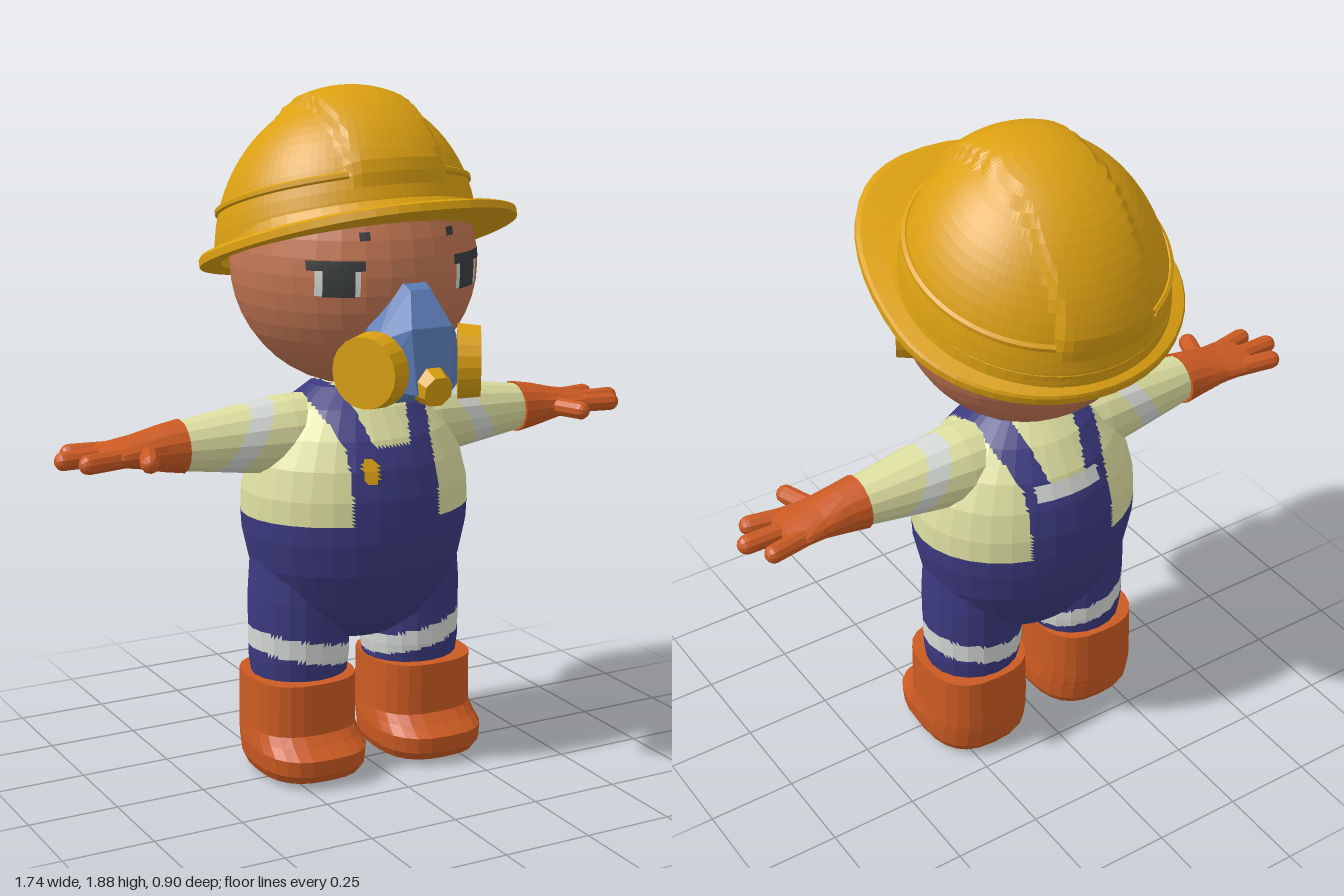
import * as THREE from 'three';
import { ConvexGeometry } from 'three/addons/geometries/ConvexGeometry.js';

const { sin, cos, abs, sign, PI } = Math;
const V = (x, y, z) => new THREE.Vector3(x, y, z);
const step = THREE.MathUtils.smoothstep;

const material = (name, color, extra) => {
  const m = new THREE.MeshStandardMaterial({ color, flatShading: true, ...extra });
  m.name = name;
  return m;
};

// Rings of n sides, listed bottom to top; place(row, angle) gives each corner.
function loft(rows, n, place) {
  const g = new THREE.LatheGeometry(rows.map((_, i) => new THREE.Vector2(1, i)), n);
  for (let i = 0; i <= n; i++)
    rows.forEach((row, j) => g.attributes.position.setXYZ(i * rows.length + j, ...place(row, (i / n) * 2 * PI)));
  g.computeVertexNormals();
  return g;
}

// Straight subdivision between rows, so that painted borders stay crisp.
function refine(rows, k) {
  const out = [];
  for (let i = 0; i < rows.length - 1; i++)
    for (let j = 0; j < k; j++) out.push(rows[i].map((a, c) => a + ((rows[i + 1][c] - a) * j) / k));
  out.push(rows[rows.length - 1]);
  return out;
}

// Radius factor that keeps a finely divided ring a polygon of n flat sides.
const facet = (t, n) => cos(PI / n) / cos((t % (2 * PI / n)) - PI / n);

// Sorts triangles into material groups by the position of their centre.
function paint(geometry, pick) {
  const g = geometry.toNonIndexed();
  const p = g.attributes.position.array;
  const buckets = [];
  for (let i = 0; i < p.length; i += 9) {
    const c = [0, 1, 2].map((k) => (p[i + k] + p[i + 3 + k] + p[i + 6 + k]) / 3);
    (buckets[pick(...c)] ??= []).push(...p.subarray(i, i + 9));
  }
  const out = new THREE.BufferGeometry();
  out.setAttribute('position', new THREE.Float32BufferAttribute(buckets.flat(), 3));
  let start = 0;
  buckets.forEach((b, k) => { out.addGroup(start, b.length / 3, k); start += b.length / 3; });
  out.computeVertexNormals();
  return out;
}

function mirror(geometry) {
  const g = geometry.index ? geometry.toNonIndexed() : geometry.clone();
  const p = g.attributes.position;
  for (let i = 0; i < p.count; i += 3) {
    const [a, b, c] = [0, 1, 2].map((k) => V(-p.getX(i + k), p.getY(i + k), p.getZ(i + k)));
    [a, c, b].forEach((v, k) => p.setXYZ(i + k, v.x, v.y, v.z));
  }
  g.computeVertexNormals();
  return g;
}

function capsule(a, b, r) {
  const d = b.clone().sub(a);
  const g = new THREE.CapsuleGeometry(r, d.length(), 4, 10);
  g.applyQuaternion(new THREE.Quaternion().setFromUnitVectors(V(0, 1, 0), d.normalize()));
  const m = a.clone().add(b).multiplyScalar(0.5);
  return g.translate(m.x, m.y, m.z);
}

export function createModel() {
  const root = new THREE.Group();
  root.name = 'worker';
  const gold = material('helmet gold', 0xdba011, { side: THREE.DoubleSide });
  const navy = material('overall navy', 0x3c3a80);
  const shirt = material('shirt pale yellow', 0xdcde9f);
  const orange = material('rubber orange', 0xcb5a22);
  const skin = material('skin', 0xc27653);
  const blue = material('mask blue', 0x5b7db8);
  const silver = material('reflective silver', 0xd5d9d5);
  const dark = material('eye dark', 0x3a3d3e);

  const add = (name, geometry, mat, parent = root) => {
    const m = new THREE.Mesh(geometry, mat);
    m.name = name;
    parent.add(m);
    return m;
  };
  const pair = (name, geometry, mat, parent) => {
    add('left' + name, geometry, mat, parent);
    add('right' + name, mirror(geometry), mat, parent);
  };

  // Body: egg with painted dungarees, straps and badge
  const bodyRows = [[0, 0.48], [0.12, 0.495], [0.2, 0.545], [0.26, 0.615], [0.305, 0.71], [0.325, 0.8], [0.328, 0.855],
    [0.325, 0.92], [0.305, 1.0], [0.265, 1.075], [0.2, 1.15], [0.13, 1.2], [0, 1.215]];
  const body = loft(refine(bodyRows, 7), 160, ([r, y], t) => {
    const f = r * facet(t, 32);
    return [f * sin(t), y, -0.06 + 0.8 * f * cos(t)];
  });
  const bodyColour = (x, y, z) => {
    const ax = abs(x), up = Math.max(0, y - 1.06);
    if (z > 0 && abs(x + 0.075) < 0.022 && abs(y - 1.0) < 0.035 - 0.5 * abs(x + 0.075)) return 2;
    if (y < 0.855) return 0;
    if (z < -0.06 && ax < 0.1 && abs(y - 1.04) < 0.022) return 3;
    if (y < 1.06) return ax < 0.13 ? 0 : 1;
    return ax > 0.055 + 0.25 * up && ax < 0.13 + 0.36 * up ? 0 : 1;
  };
  add('body', paint(body, bodyColour), [navy, shirt, gold, silver]);

  // Legs with a slanted reflective band
  const leg = loft(refine([[0.13, 0.36], [0.142, 0.45], [0.143, 0.62], [0.135, 0.74], [0.09, 0.84], [0, 0.86]], 12), 80,
    ([r, y], t) => {
      const f = r * facet(t, 20);
      return [0.175 + f * sin(t), y, -0.062 + 0.96 * f * cos(t)];
    });
  pair('Leg', paint(leg, (x, y) => (abs(y - 0.445 - 0.22 * (x - 0.04)) < 0.029 ? 1 : 0)), [navy, silver]);

  // Boots: height, half width, front, back
  const bootRows = [[0.12, 0, -0.03, -0.03], [0.12, 0.1, 0.09, -0.15], [0.135, 0.14, 0.14, -0.19], [0.16, 0.152, 0.16, -0.205],
    [0.205, 0.156, 0.165, -0.212], [0.23, 0.153, 0.125, -0.214], [0.255, 0.15, 0.098, -0.214], [0.4, 0.148, 0.1, -0.212],
    [0.4, 0, -0.06, -0.06]];
  const soft = (v, e) => sign(v) * abs(v) ** e;
  pair('Boot', loft(bootRows, 24, ([y, w, front, back], t) =>
    [0.184 + w * soft(sin(t), 0.75), y, (front + back) / 2 + ((front - back) / 2) * soft(cos(t), 0.75)]), orange);

  // Sleeves with a slanted reflective band
  const along = (g) => g.rotateZ(-PI / 2).translate(0, 1.07, -0.065);
  const sleeve = along(loft(refine([[0, 0.12], [0.11, 0.14], [0.11, 0.22], [0.094, 0.34], [0.066, 0.53], [0, 0.53]], 12), 64,
    ([r, x], t) => {
      const f = r * facet(t, 16);
      return [f * sin(t), x, f * cos(t)];
    }));
  pair('Sleeve', paint(sleeve, (x, y) => (abs(x - 0.34 + 0.6 * (y - 1.09)) < 0.032 ? 1 : 0)), [shirt, silver]);

  // Gloves: position, half height, half depth
  const palm = [[0.52, 0, 0], [0.52, 0.073, 0.077], [0.58, 0.062, 0.072], [0.65, 0.044, 0.075], [0.71, 0.032, 0.083],
    [0.75, 0.024, 0.072], [0.765, 0, 0]];
  pair('Glove', along(loft(palm, 16, ([x, h, d], t) => [h * sin(t), x, d * cos(t)])), orange);
  const fingers = [[0.7, -0.115, 0.805, -0.133], [0.7, -0.065, 0.846, -0.062], [0.7, -0.015, 0.805, 0.006], [0.63, -0.02, 0.662, 0.07]];
  fingers.forEach(([x0, z0, x1, z1], i) =>
    pair(i < 3 ? 'Finger' + (i + 1) : 'Thumb', capsule(V(x0, 1.068, z0), V(x1, 1.068, z1), 0.026), orange));

  // Head and face plates that follow its curve
  const R = 0.335, headY = 1.53, headZ = -0.065;
  add('head', new THREE.SphereGeometry(R, 32, 22), skin).position.set(0, headY, headZ);
  const plate = (x, y, w, h, lift) => {
    const g = new THREE.PlaneGeometry(w, h, 6, 6).translate(x, y, 0);
    const p = g.attributes.position;
    for (let i = 0; i < p.count; i++)
      p.setZ(i, headZ + Math.sqrt((R + lift) ** 2 - p.getX(i) ** 2 - (p.getY(i) - headY) ** 2));
    return g;
  };
  pair('EyeWhite', plate(0.191, 1.518, 0.098, 0.07, 0.002), silver);
  pair('Iris', plate(0.19, 1.526, 0.07, 0.09, 0.004), dark);
  pair('UpperLash', plate(0.194, 1.562, 0.126, 0.026, 0.005), dark);
  pair('Eyebrow', plate(0.125, 1.636, 0.026, 0.022, 0.003), dark);

  // Breathing mask with two filters and a valve
  const mask = [];
  for (const s of [-1, 1])
    for (const [x, y, z] of [[0.035, 1.52, 0.25], [0.03, 1.5, 0.3], [0.06, 1.41, 0.36], [0.05, 1.24, 0.37], [0.12, 1.37, 0.28],
      [0.125, 1.25, 0.29], [0.09, 1.19, 0.22], [0.11, 1.195, 0.09], [0.14, 1.3, 0.17], [0.11, 1.41, 0.2]]) mask.push(V(s * x, y, z));
  add('mask', new ConvexGeometry(mask), blue);
  const disc = (r, depth) => new THREE.CylinderGeometry(r * 0.94, r, depth, 20).rotateX(PI / 2).rotateY(PI / 3);
  pair('Filter', disc(0.1, 0.06).translate(0.148, 1.3, 0.298), gold);
  add('valve', new THREE.CylinderGeometry(0.042, 0.056, 0.05, 8).rotateY(PI / 8).rotateX(PI / 2 + 0.25).translate(0, 1.255, 0.37), gold);

  // Helmet, tilted back: dome with raised centre band
  const helmet = new THREE.Group();
  helmet.name = 'helmet';
  helmet.position.set(0, 1.565, -0.105);
  helmet.rotation.x = -0.305;
  root.add(helmet);
  const dome = (v, t) => {
    const x = 0.36 * cos(v) * sin(t), y = 0.4 * sin(v), z = 0.36 * cos(v) * cos(t);
    const f = 1 + 0.05 * (1 - step(abs(x), 0.118, 0.145)) * step(sin(v), 0.24, 0.36);
    return [x * f, y * f, z * f + 0.15 * y];
  };
  const angles = Array.from({ length: 21 }, (_, i) => (i / 20) * (PI / 2));
  add('dome', loft(angles, 96, dome), gold, helmet);

  // Brim: long in front, short behind (inward share, height)
  const brimRows = [[0, -0.005], [1, -0.012], [1.0, 0.008], [0.9, 0.016], [0.25, 0.024], [0.15, 0.055], [0, 0.06]];
  add('brim', loft(brimRows, 48, ([k, y], t) => {
    const s = sin(t), c = cos(t);
    const outer = [0.408 * (c > 0 ? soft(s, 0.85) : s), (c > 0 ? 0.56 : 0.378) * c];
    return [0.345 * s + (outer[0] - 0.345 * s) * k, y, 0.345 * c + (outer[1] - 0.345 * c) * k];
  }), gold, helmet);

  // Raised trim along each side of the dome
  const trim = new THREE.CatmullRomCurve3(Array.from({ length: 14 }, (_, i) => V(...dome(0.33, 0.42 + i * 0.175))));
  pair('Trim', new THREE.TubeGeometry(trim, 40, 0.011, 6), gold, helmet);

  return root;
}
